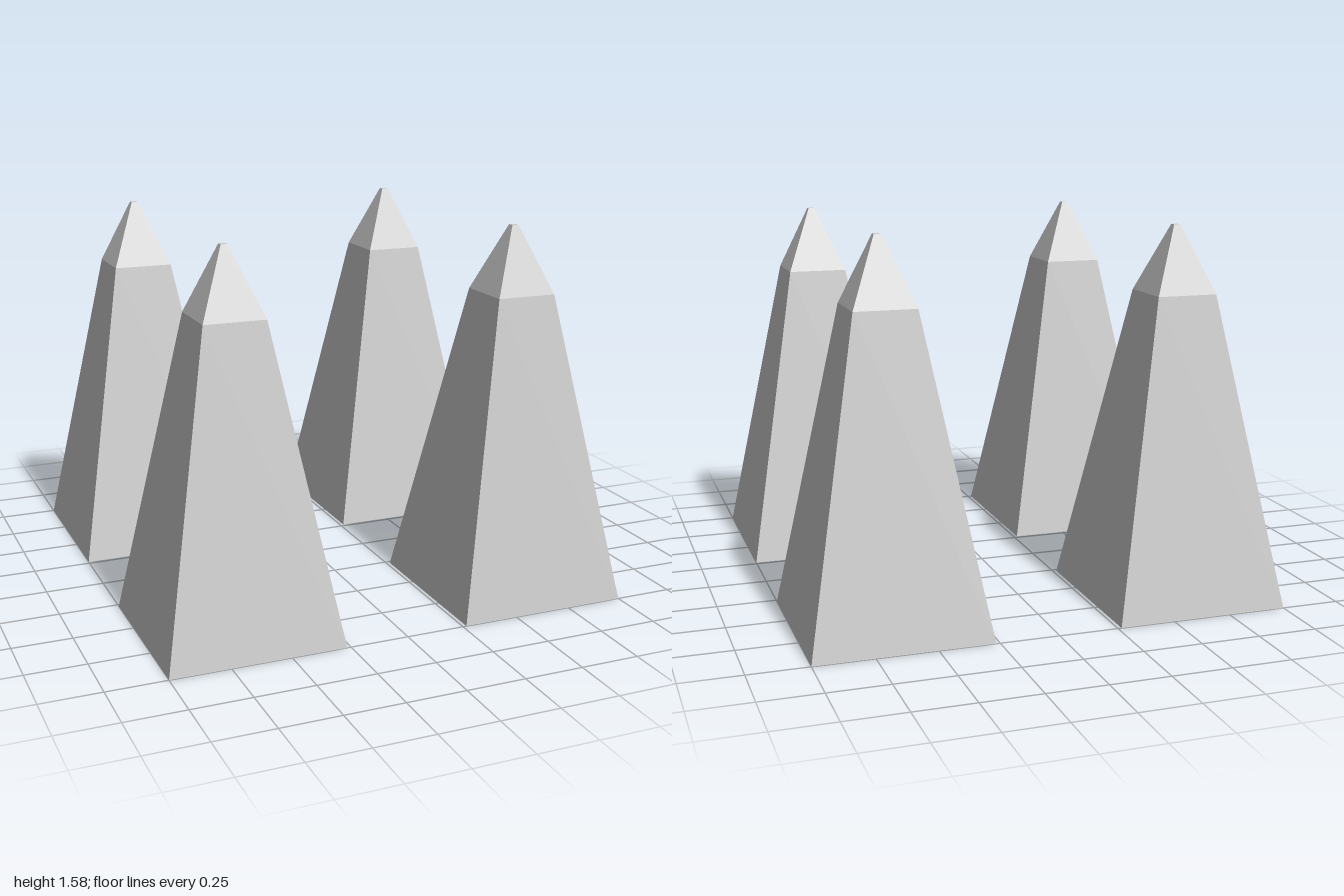
import * as THREE from 'three';

const SPACING = 0.633; // spike centre offset along x and z

// Square profile as [half width, height], from the base centre to the tip centre
const PROFILE = [[0, 0], [0.367, 0], [0.129, 1.3], [0.014, 1.58], [0, 1.58]];

// A four-sided lathe turned by 45 degrees gives square sections facing the axes
function spikeGeometry() {
  const points = PROFILE.map(([half, y]) => new THREE.Vector2(half * Math.SQRT2, y));
  return new THREE.LatheGeometry(points, 4, Math.PI / 4);
}

export function createModel() {
  const model = new THREE.Group();
  model.name = 'spikes';
  const material = new THREE.MeshStandardMaterial({ color: 0xcccccc, flatShading: true });
  const geometry = spikeGeometry();

  // One spike in each corner of the square
  for (const [zName, z] of [['front', 1], ['back', -1]]) {
    for (const [xName, x] of [['Left', 1], ['Right', -1]]) {
      const spike = new THREE.Mesh(geometry, material);
      spike.name = `${zName}${xName}Spike`;
      spike.position.set(x * SPACING, 0, z * SPACING);
      model.add(spike);
    }
  }
  return model;
}
